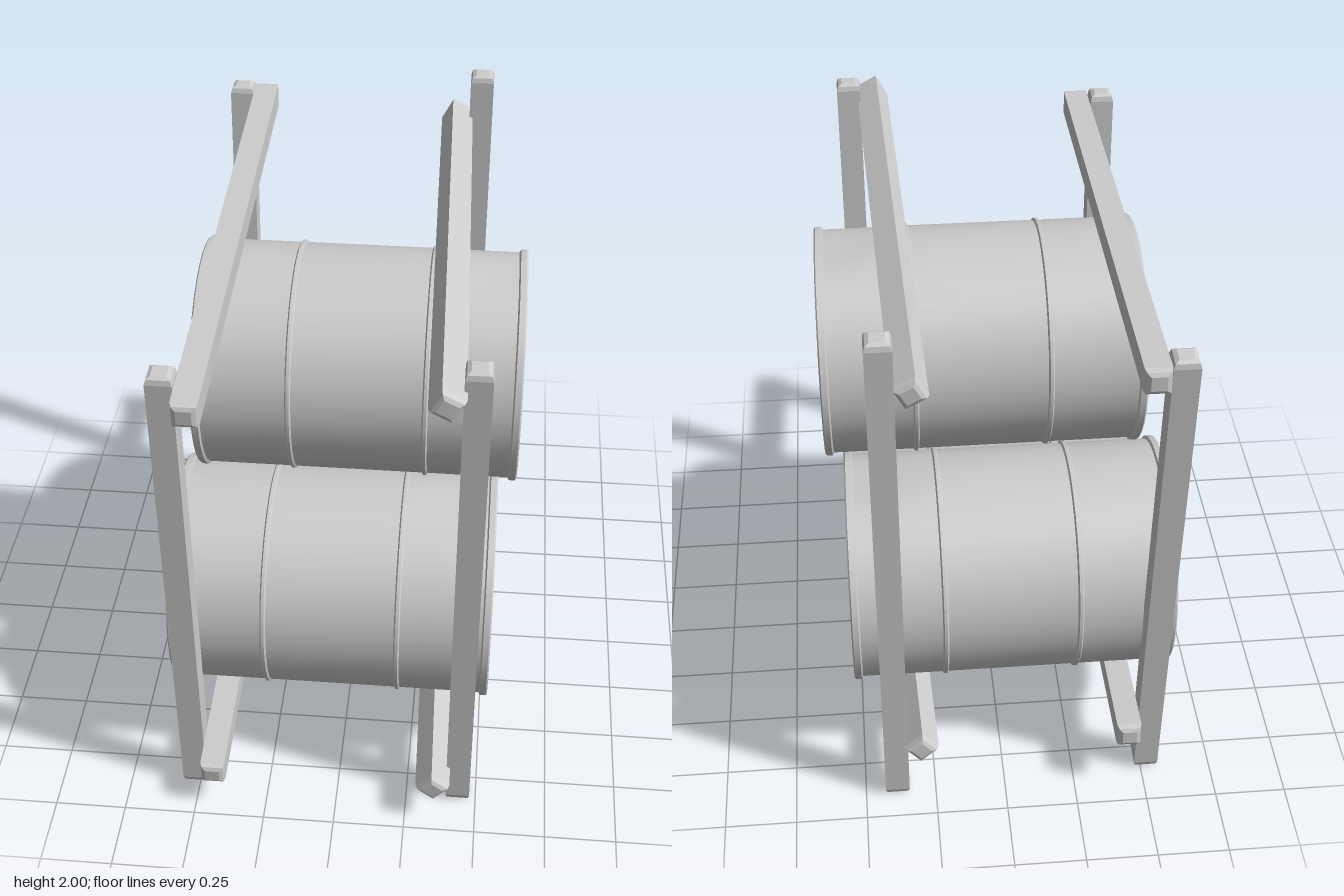
import * as THREE from 'three';
import { toCreasedNormals } from 'three/addons/utils/BufferGeometryUtils.js';

const grey = new THREE.MeshStandardMaterial({ color: 0xcccccc });
grey.name = 'plain grey';

const lathe = (pts, segments) => {
  const g = new THREE.LatheGeometry(pts.map(([r, s]) => new THREE.Vector2(r, s)), segments);
  return g.rotateZ(-Math.PI / 2); // axis along +x
};

// Drum shell: flat end at x = 0, recessed lid at x = 1.11, dented at the top of the lid end
function drumGeometry() {
  const R = 0.395;
  const ring = s => [[R, s - 0.01], [R + 0.008, s - 0.005], [R + 0.008, s + 0.005], [R, s + 0.01]];
  const g = lathe([
    [0, 0], [0.4, 0], [0.405, 0.005], [0.405, 0.025], [R, 0.03],
    ...ring(0.33), ...ring(0.79), [R, 0.87], [R, 0.95], [R, 1.02],
    [R, 1.08], [0.405, 1.085], [0.405, 1.105], [0.4, 1.11], [0.385, 1.11], [0.37, 1.085], [0, 1.085],
  ], 36);
  const p = g.attributes.position;
  for (let i = 0; i < p.count; i++) {
    const x = p.getX(i), y = p.getY(i), z = p.getZ(i);
    if (Math.hypot(y, z) < 0.3) continue;
    const a = Math.atan2(z, y);
    const depth = 0.03 * THREE.MathUtils.smoothstep(x, 0.78, 1.08) * Math.exp(-((a / 0.32) ** 2));
    p.setY(i, y - depth);
  }
  return toCreasedNormals(g, 0.6);
}

// Raised ring with a sunken plug
function bungGeometry() {
  const g = lathe([[0.07, 0], [0.07, 0.012], [0.066, 0.015], [0.06, 0.015], [0.058, 0.006], [0, 0.006]], 20);
  return toCreasedNormals(g, 0.6);
}

// Square timber from a to b with softened ends
function timber(name, a, b, w = 0.085, d = 0.085) {
  const from = new THREE.Vector3(...a), dir = new THREE.Vector3(...b).sub(from);
  const len = dir.length(), bevel = 0.025;
  const s = new THREE.Shape();
  s.moveTo(-w / 2, -d / 2);
  s.lineTo(w / 2, -d / 2);
  s.lineTo(w / 2, d / 2);
  s.lineTo(-w / 2, d / 2);
  s.closePath();
  const g = new THREE.ExtrudeGeometry(s, {
    depth: len - 2 * bevel, bevelEnabled: true, bevelThickness: bevel,
    bevelSize: 0.018, bevelOffset: -0.018, bevelSegments: 2,
  });
  g.translate(0, 0, bevel);
  const m = new THREE.Mesh(g, grey);
  m.name = name;
  m.position.copy(from);
  m.quaternion.setFromUnitVectors(new THREE.Vector3(0, 0, 1), dir.normalize());
  return m;
}

export function createModel() {
  const model = new THREE.Group();
  model.name = 'drumRack';

  // Three stacked drums
  const shell = drumGeometry(), bung = bungGeometry();
  [['frontDrum', -0.59, 0.64, 0.39], ['backDrum', -0.592, 0.69, -0.43], ['topDrum', -0.53, 1.343, 0.03]]
    .forEach(([name, x, y, z]) => {
      const drum = new THREE.Group();
      drum.name = name;
      const body = new THREE.Mesh(shell, grey);
      body.name = 'drumShell';
      const plug = new THREE.Mesh(bung, grey);
      plug.name = 'bung';
      plug.position.set(1.084, -0.032, -0.19);
      drum.add(body, plug);
      drum.position.set(x, y, z);
      model.add(drum);
    });

  // Leaning posts
  model.add(
    timber('frontLeftPost', [0.435, 0, 0.817], [0.435, 1.93, 0.877]),
    timber('frontRightPost', [-0.518, 0, 0.817], [-0.518, 1.85, 0.872]),
    timber('backLeftPost', [0.387, 0, -0.86], [0.387, 2, -0.907]),
    timber('backRightPost', [-0.518, 0, -0.808], [-0.518, 1.905, -0.935]),
  );

  // Top and bottom rails
  model.add(
    timber('topLeftRail', [0.347, 1.845, 0.985], [0.297, 1.815, -0.955]),
    timber('topRightRail', [-0.433, 1.762, 0.985], [-0.433, 1.843, -0.995]),
    timber('bottomLeftRail', [0.347, 0.16, 0.965], [0.297, 0.27, -0.95]),
    timber('bottomRightRail', [-0.433, 0.16, 0.965], [-0.433, 0.27, -0.95]),
  );
  return model;
}
